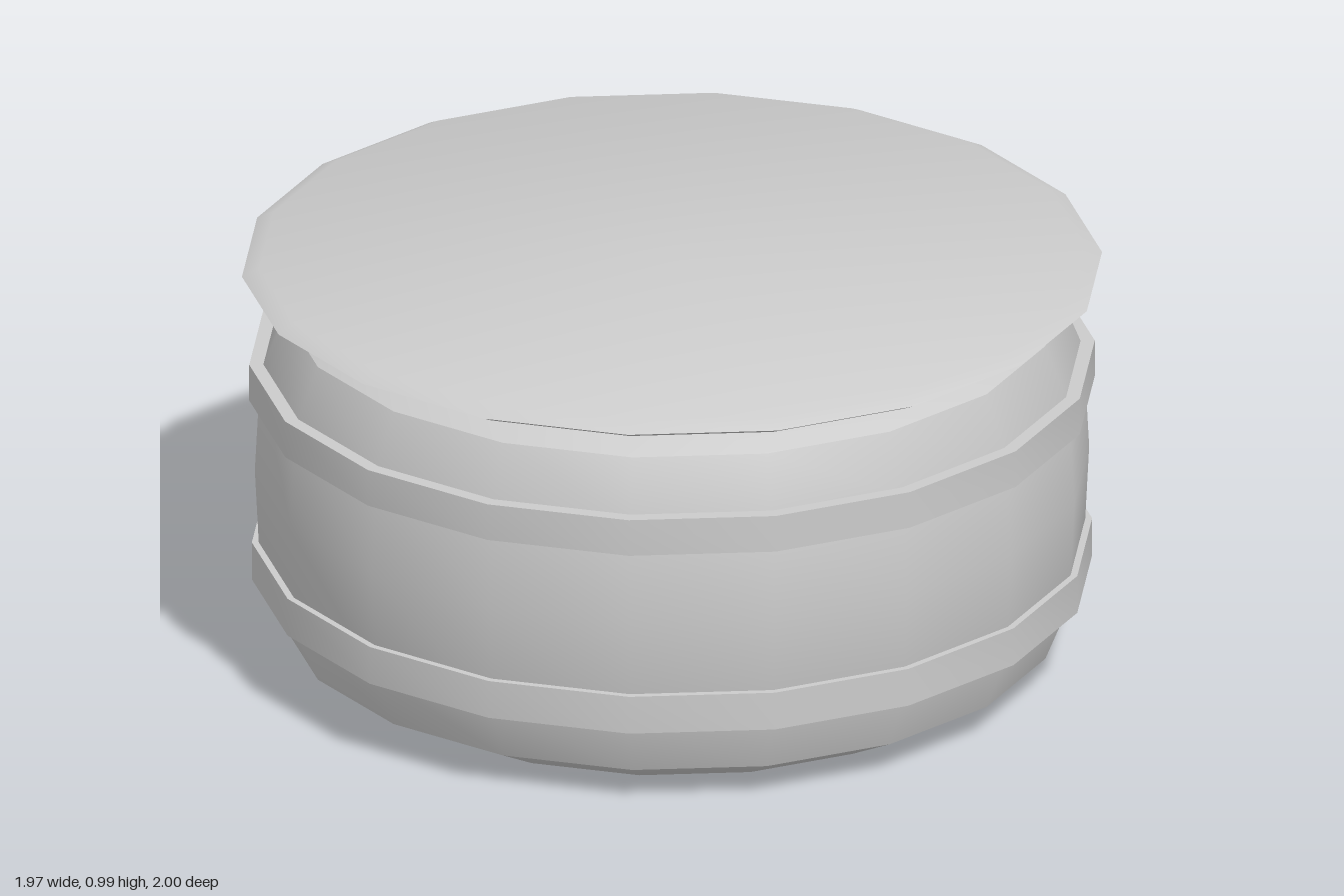
import * as THREE from 'three';
import { toCreasedNormals } from 'three/addons/utils/BufferGeometryUtils.js';

const SIDES = 18;

export function createModel() {
  const model = new THREE.Group();
  model.name = 'liddedDrum';
  const material = new THREE.MeshStandardMaterial({ color: 0xcccccc });

  // Revolve [radius, height] points, listed bottom to top, keeping sharp edges
  function addTurned(name, profile) {
    const points = profile.map(([r, y]) => new THREE.Vector2(r, y));
    const geometry = toCreasedNormals(new THREE.LatheGeometry(points, SIDES), Math.PI / 6);
    const mesh = new THREE.Mesh(geometry, material);
    mesh.name = name;
    model.add(mesh);
  }

  // Bulging barrel with bevelled ends
  addTurned('body', [
    [0, 0], [0.745, 0], [0.9, 0.08], [0.957, 0.22], [0.97, 0.48],
    [0.957, 0.73], [0.9, 0.87], [0.745, 0.952], [0, 0.952],
  ]);

  // Raised hoops around the barrel
  const addBand = (name, radius, bottom, top) => addTurned(name, [
    [0.93, bottom], [radius, bottom], [radius, top], [0.93, top], [0.93, bottom],
  ]);
  addBand('lowerBand', 0.977, 0.205, 0.298);
  addBand('upperBand', 0.983, 0.657, 0.747);

  // Thin overhanging lid with a knife edge
  addTurned('lid', [[0, 0.95], [0.96, 0.95], [1, 0.97], [0.96, 0.99], [0, 0.99]]);

  return model;
}
